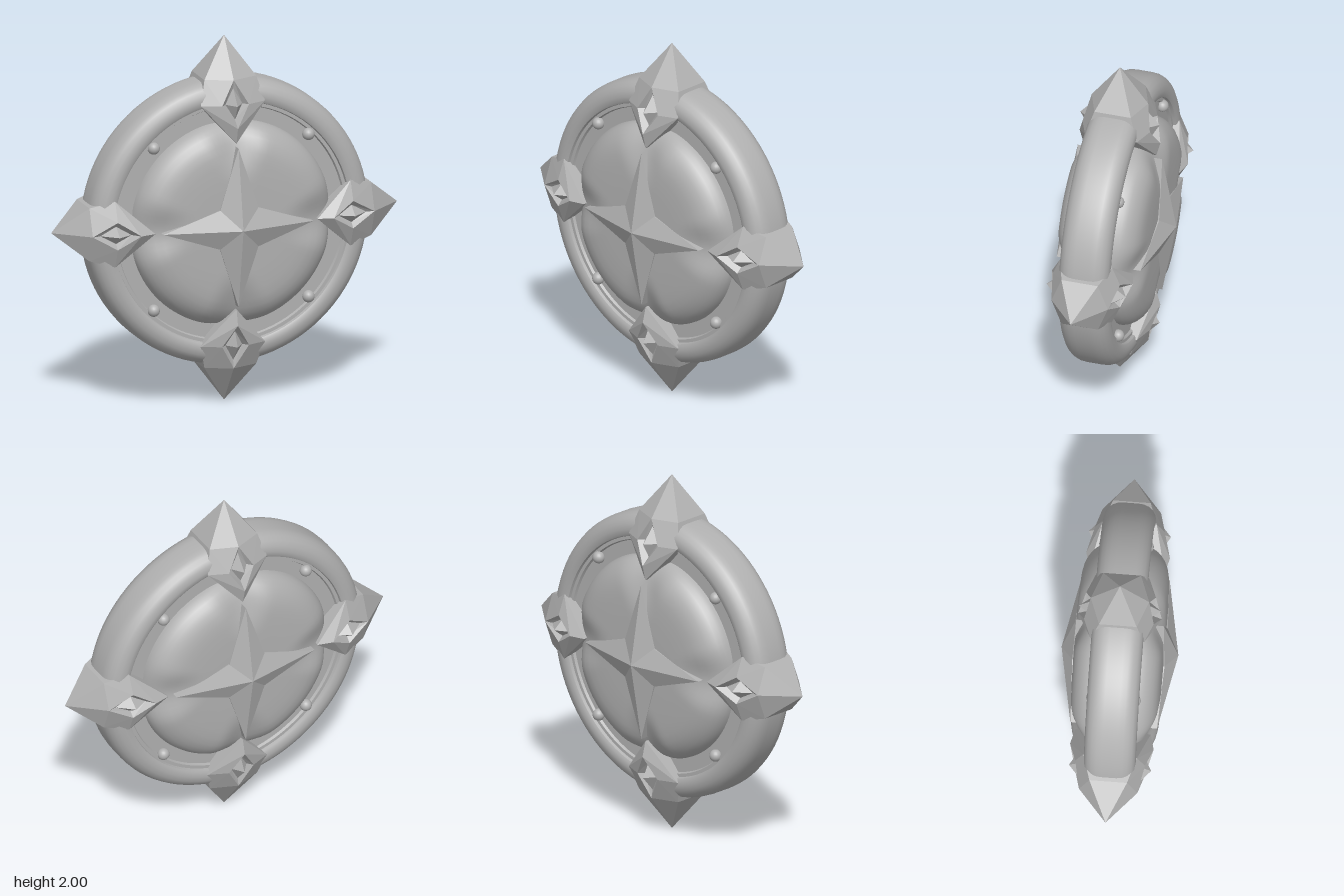
import * as THREE from 'three';
import { toCreasedNormals } from 'three/addons/utils/BufferGeometryUtils.js';

const stone = new THREE.MeshStandardMaterial({ color: 0xb0b0b0 });
stone.name = 'plain grey';

// Polygons are listed for the +x +z quarter and mirrored with corrected winding
function mirrored(polys, signs) {
  const pos = [];
  for (const [sx, sy, sz] of signs) {
    for (const poly of polys) {
      for (let i = 1; i < poly.length - 1; i++) {
        const tri = [poly[0], poly[i], poly[i + 1]];
        if (sx * sy * sz < 0) tri.reverse();
        for (const p of tri) pos.push(p[0] * sx, p[1] * sy, p[2] * sz);
      }
    }
  }
  const g = new THREE.BufferGeometry();
  g.setAttribute('position', new THREE.Float32BufferAttribute(pos, 3));
  g.computeVertexNormals();
  return g;
}

function mesh(name, geometry) {
  const m = new THREE.Mesh(geometry, stone);
  m.name = name;
  return m;
}

// Shape turned around the z axis, profile as [radius, z] from back to front
function turned(profile) {
  const g = new THREE.LatheGeometry(profile.map(([r, z]) => new THREE.Vector2(r, z)), 96);
  return g.rotateX(Math.PI / 2);
}

// Sink the dome gently where it meets the four spikes
function dent(g) {
  const p = g.attributes.position;
  for (let i = 0; i < p.count; i++) {
    const x = p.getX(i), y = p.getY(i), z = p.getZ(i);
    const near = Math.max(0, Math.cos(4 * Math.atan2(y, x))) ** 2;
    const drop = 0.04 * near * THREE.MathUtils.smoothstep(Math.hypot(x, y), 0.25, 0.46);
    p.setZ(i, z - Math.sign(z) * drop);
  }
  return g;
}

// Pointed corner piece with a diamond socket and a small pyramid on each face
function spikeParts(tip) {
  const P = [0, tip, 0], A = [0.145, 0.79, 0.1], B = [0.18, 0.66, 0.142], C = [0, 0.455, 0.2];
  const A0 = [0.145, 0.79, 0], B0 = [0.18, 0.66, 0], C0 = [0, 0.455, 0];
  const Dt = [0, 0.79, 0.155], Dr = [0.075, 0.66, 0.185], Db = [0, 0.54, 0.222];
  const It = [0, 0.745, 0.145], Ir = [0.047, 0.66, 0.155], Ib = [0, 0.58, 0.175];
  const G = [0, 0.66, 0.218];
  const quarters = [[1, 1, 1], [-1, 1, 1], [1, 1, -1], [-1, 1, -1]];
  const shell = mirrored([
    [P, Dt, A], [A, Dt, Dr], [A, Dr, B], [B, Dr, Db], [B, Db, C],
    [P, A, A0], [A, B, B0, A0], [B, C, C0, B0],
    [Dt, It, Ir, Dr], [Dr, Ir, Ib, Db],
  ], quarters);
  const gem = mirrored([[It, G, Ir], [G, Ib, Ir]], quarters);
  return [mesh('spikeShell', shell), mesh('spikeGem', gem)];
}

export function createModel() {
  const model = new THREE.Group();
  model.name = 'roundMedallion';
  const body = new THREE.Group();
  body.name = 'body';
  body.position.y = 1;
  model.add(body);

  // Heavy rounded rim stepping down to a lip and a flat channel
  const half = [
    [0.785, 0.04], [0.782, 0.07], [0.772, 0.095], [0.755, 0.117], [0.73, 0.132], [0.7, 0.138],
    [0.675, 0.134], [0.664, 0.128], [0.66, 0.112], [0.642, 0.112], [0.636, 0.098], [0.54, 0.098],
  ];
  const back = half.map(([r, z]) => [r, -z]).reverse();
  body.add(mesh('rim', toCreasedNormals(turned([...back, ...half]), 0.5)));

  // Domed faces
  const dome = [
    [0.562, 0.08], [0.56, 0.112], [0.552, 0.138], [0.538, 0.162], [0.518, 0.183], [0.49, 0.203],
    [0.455, 0.219], [0.41, 0.229], [0.36, 0.233], [0.3, 0.236], [0.25, 0.237], [0.15, 0.238], [0, 0.238],
  ];
  const domeBack = dome.map(([r, z]) => [r, -z]).reverse();
  for (const [name, profile] of [['frontDome', dome], ['backDome', domeBack]]) {
    body.add(mesh(name, toCreasedNormals(dent(turned(profile)), 0.6)));
  }

  // Four-pointed stars, front and back
  const c = [0, 0, 0.31], top = [0, 0.435, 0.232], side = [0.42, 0, 0.23], inner = [0.107, 0.107, 0.245];
  const down = (p) => [p[0], p[1], 0.17];
  const star = [
    [c, inner, top], [c, side, inner],
    [top, inner, down(inner), down(top)], [inner, side, down(side), down(inner)],
  ];
  for (const [name, z] of [['frontStar', 1], ['backStar', -1]]) {
    body.add(mesh(name, mirrored(star, [[1, 1, z], [-1, 1, z], [1, -1, z], [-1, -1, z]])));
  }

  // Four spikes around the rim
  ['topSpike', 'leftSpike', 'bottomSpike', 'rightSpike'].forEach((name, i) => {
    const spike = new THREE.Group();
    spike.name = name;
    spike.add(...spikeParts(i % 2 ? 0.97 : 1));
    spike.rotation.z = -i * Math.PI / 2;
    body.add(spike);
  });

  // Round studs on the diagonals of both channels
  const studGeometry = new THREE.SphereGeometry(0.033, 20, 12);
  for (const x of [-1, 1]) for (const y of [-1, 1]) for (const z of [-1, 1]) {
    const stud = mesh('stud', studGeometry);
    stud.position.set(x * 0.434, y * 0.445, z * 0.112);
    body.add(stud);
  }
  return model;
}
